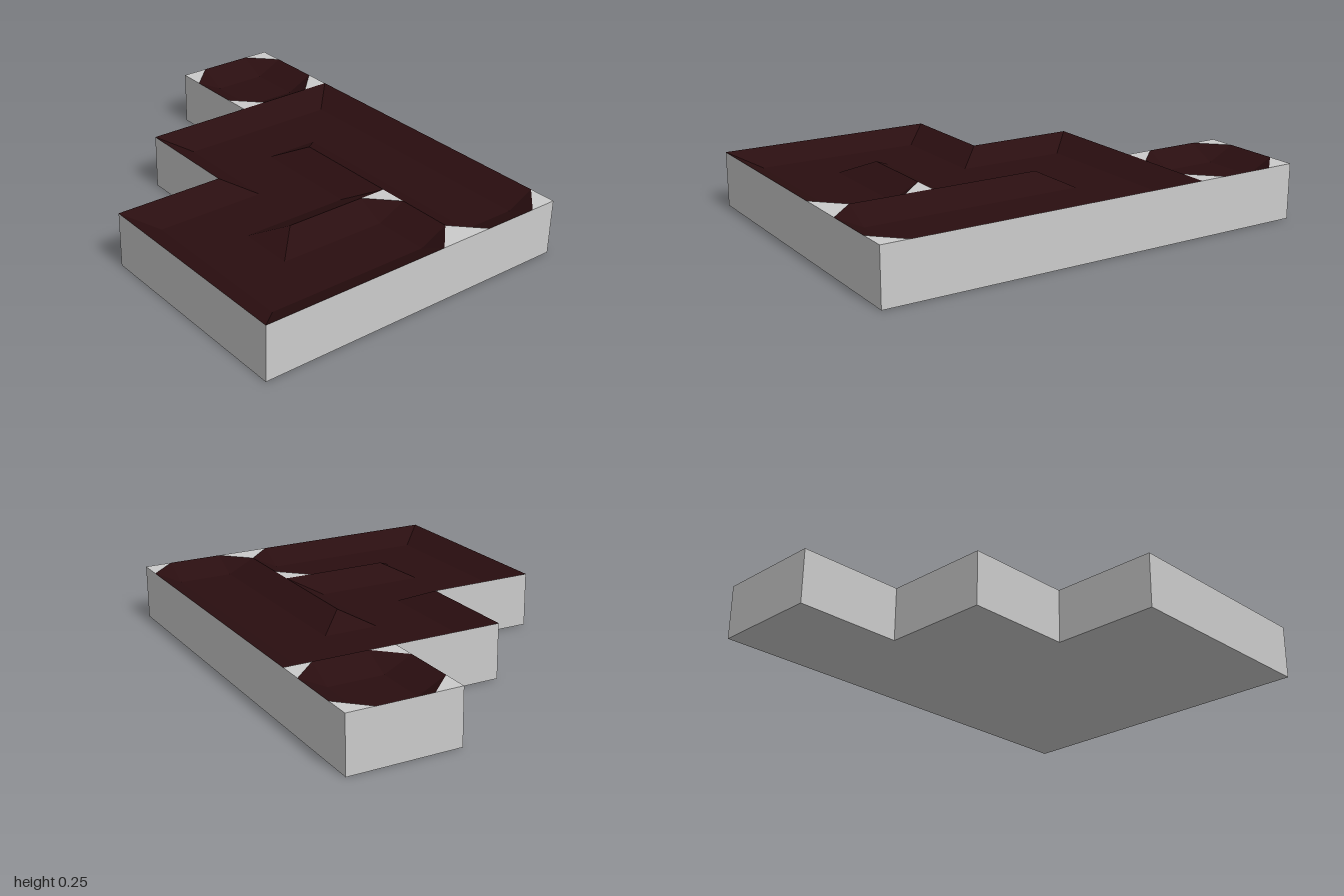
import * as THREE from 'three';

const RIM = 0.25, FLOOR = 0.1875, CELL = 0.5, HALF = 0.25, INNER = 0.125;

// Routes of the sunken channel over the 4 x 3 grid of cells, as [column, row]
const ROUTES = [
  [[0, 0]],
  [[3, 0], [2, 0], [1, 0], [1, 1], [2, 1], [2, 2], [3, 2], [3, 1]],
];

// Stepped outline of the slab, as [x, z]
const OUTLINE = [[-1, -0.75], [1, -0.75], [1, 0.75], [0, 0.75], [0, 0.25], [-0.5, 0.25], [-0.5, -0.25], [-1, -0.25]];

// Adds a triangle, turned so that it faces up
function triUp(list, a, b, c) {
  const up = (b[2] - a[2]) * (c[0] - a[0]) - (b[0] - a[0]) * (c[2] - a[2]);
  list.push(...a, ...(up > 0 ? b : c), ...(up > 0 ? c : b));
}

function quadUp(list, a, b, c, d) {
  triUp(list, a, b, c);
  triUp(list, a, c, d);
}

function makeMesh(name, positions, material) {
  const geometry = new THREE.BufferGeometry();
  geometry.setAttribute('position', new THREE.Float32BufferAttribute(positions, 3));
  geometry.computeVertexNormals();
  const mesh = new THREE.Mesh(geometry, material);
  mesh.name = name;
  return mesh;
}

// One cell: flat floor, sloped banks along walls, dead ends with cut corners
function addCell(channel, corners, [col, row], links) {
  const cx = -0.75 + col * CELL, cz = -0.5 + row * CELL;
  const isWall = (dx, dz) => !links.some(([c, r]) => c === col + dx && r === row + dz);
  const deadEnd = links.length < 2;
  const point = (x, z, high) => [cx + x, high ? RIM : FLOOR, cz + z];
  const inner = (sx, sz) => point(sx * INNER, sz * INNER, false);
  const edgeX = (sx, sz) => point(sx * HALF, sz * INNER, isWall(sx, 0));
  const edgeZ = (sx, sz) => point(sx * INNER, sz * HALF, isWall(0, sz));

  quadUp(channel, inner(-1, -1), inner(1, -1), inner(1, 1), inner(-1, 1));
  for (const s of [-1, 1]) {
    quadUp(channel, inner(s, -1), inner(s, 1), edgeX(s, 1), edgeX(s, -1));
    quadUp(channel, inner(-1, s), inner(1, s), edgeZ(1, s), edgeZ(-1, s));
    for (const t of [-1, 1]) {
      const corner = point(s * HALF, t * HALF, true);
      const ex = edgeX(s, t), ez = edgeZ(s, t), i = inner(s, t);
      if (deadEnd && isWall(s, 0) && isWall(0, t)) {
        triUp(corners, corner, ex, ez);
        triUp(channel, ex, ez, i);
      } else {
        triUp(channel, corner, ex, i);
        triUp(channel, corner, ez, i);
      }
    }
  }
}

export function createModel() {
  const model = new THREE.Group();
  model.name = 'steppedTile';
  const grey = new THREE.MeshStandardMaterial({ color: 0xcccccc, flatShading: true });
  const darkRed = new THREE.MeshStandardMaterial({ color: 0x2a0e10, flatShading: true });

  // Sunken channel and the flat corner pieces at its ends
  const channel = [], corners = [];
  for (const route of ROUTES) {
    route.forEach((cell, i) => {
      const links = [route[i - 1], route[i + 1]].filter(Boolean);
      addCell(channel, corners, cell, links);
    });
  }
  model.add(makeMesh('channel', channel, darkRed));
  model.add(makeMesh('cornerPieces', corners, grey));

  // Outer walls
  const walls = [];
  OUTLINE.forEach(([ax, az], i) => {
    const [bx, bz] = OUTLINE[(i + 1) % OUTLINE.length];
    walls.push(bx, 0, bz, ax, 0, az, ax, RIM, az);
    walls.push(bx, 0, bz, ax, RIM, az, bx, RIM, bz);
  });
  model.add(makeMesh('outerWalls', walls, grey));

  // Underside
  const shape = new THREE.Shape(OUTLINE.map(([x, z]) => new THREE.Vector2(x, z)));
  const underside = new THREE.Mesh(new THREE.ShapeGeometry(shape).rotateX(Math.PI / 2), grey);
  underside.name = 'underside';
  model.add(underside);

  return model;
}
